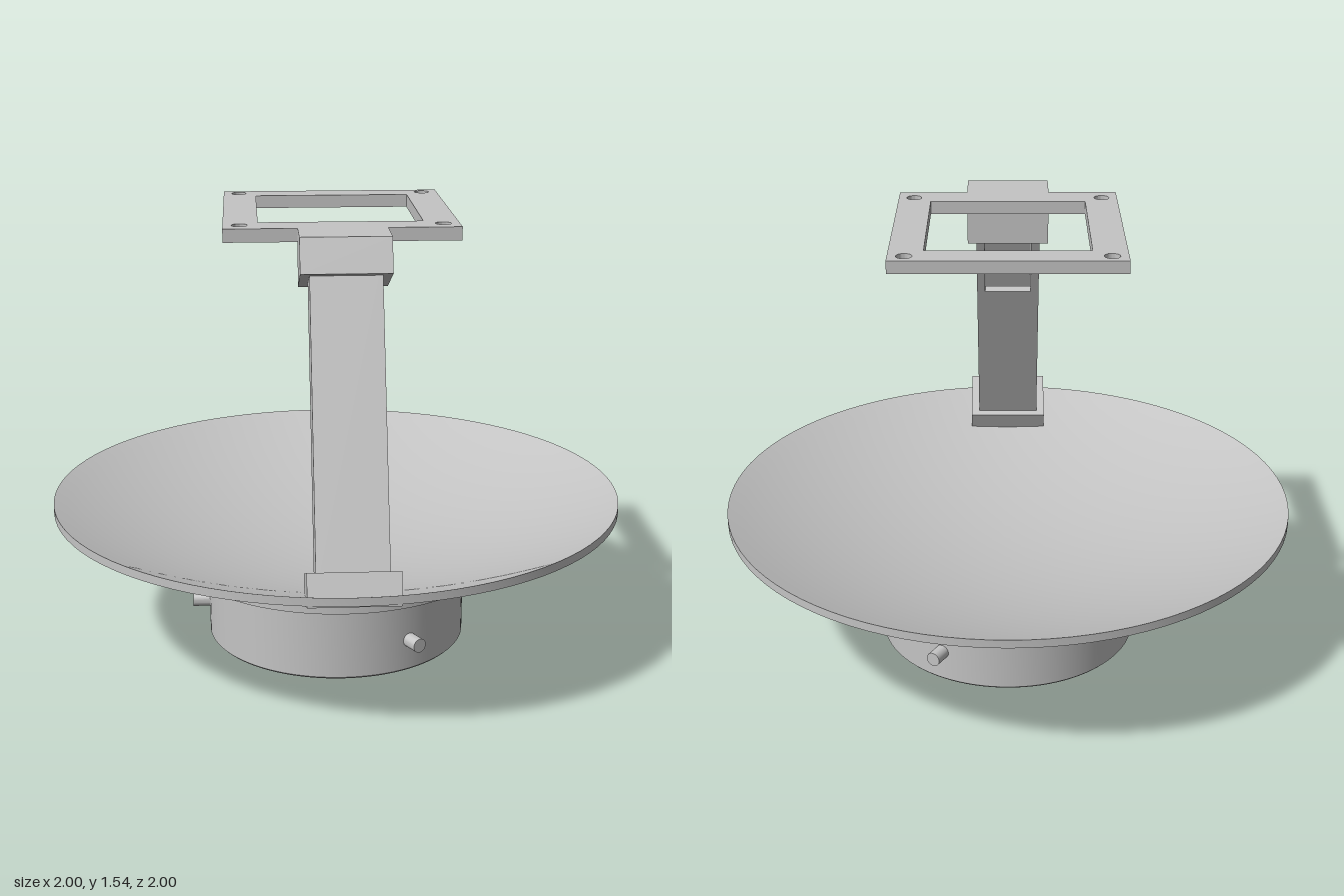
import * as THREE from 'three';
import { toCreasedNormals } from 'three/addons/utils/BufferGeometryUtils.js';

const TILT = Math.PI / 8;

export function createModel() {
  const model = new THREE.Group();
  const grey = new THREE.MeshStandardMaterial({ color: 0xc4c4c4 });
  grey.name = 'light grey';

  const add = (name, geometry, parent = model) => {
    const mesh = new THREE.Mesh(geometry, grey);
    mesh.name = name;
    parent.add(mesh);
    return mesh;
  };
  const lathe = (points) => toCreasedNormals(
    new THREE.LatheGeometry(points.map(([r, y]) => new THREE.Vector2(r, y)), 96), 0.5);
  // Extrudes a side outline given as [z, y] across the width in x
  const sideBlock = (points, width) => {
    const shape = new THREE.Shape(points.map(([z, y]) => new THREE.Vector2(z, y)));
    return new THREE.ExtrudeGeometry(shape, { depth: width, bevelEnabled: false })
      .translate(0, 0, -width / 2).rotateY(-Math.PI / 2);
  };

  // Base drum with a softened lower edge, and the collar under the dish
  add('baseDrum', lathe([[0, 0], [0.453, 0], [0.46, 0.007], [0.46, 0.3], [0, 0.3]]));
  add('collar', lathe([[0, 0.286], [0.565, 0.286], [0.565, 0.355], [0, 0.3]]));

  // Three locking pins around the drum
  for (const angle of [Math.PI / 3, Math.PI, -Math.PI / 3]) {
    const geometry = toCreasedNormals(new THREE.CylinderGeometry(0.025, 0.025, 0.12, 24), 0.5);
    geometry.rotateZ(Math.PI / 2).translate(0.46, 0.113, 0).rotateY(-angle);
    add('lockingPin', geometry);
  }

  // Parabolic dish with a thin shell and upright rim
  const steps = 20;
  const bowl = (base) => Array.from({ length: steps + 1 }, (_, i) => {
    const r = i / steps;
    return [r, base + 0.214 * r * r];
  });
  add('dish', lathe([...bowl(0.287), ...bowl(0.316).reverse()]));

  // Lower socket passing through the dish near its front rim
  add('lowerSocket', sideBlock(
    [[0.955, 0.595], [0.75, 0.51], [0.789, 0.417], [0.822, 0.429], [0.988, 0.494], [0.988, 0.515]], 0.29));

  // Hollow leaning arm, with an opening at the top of its back wall
  const arm = new THREE.Group();
  arm.name = 'arm';
  arm.position.set(0, 0.973, 0.6625);
  arm.rotation.x = -TILT;
  model.add(arm);
  const length = 1.03, wall = 0.03, depth = 0.145, width = 0.23;
  const slot = 0.33;
  add('armFront', new THREE.BoxGeometry(width, length, wall), arm)
    .position.z = (depth - wall) / 2;
  add('armBack', new THREE.BoxGeometry(width - 2 * wall, length - slot, wall), arm)
    .position.set(0, -slot / 2, -(depth - wall) / 2);
  for (const side of [-1, 1]) {
    add('armSide', new THREE.BoxGeometry(wall, length, depth - wall), arm)
      .position.set(side * (width - wall) / 2, 0, -wall / 2);
  }

  // Upper socket joining the arm to the mounting plate
  add('upperSocket', sideBlock([[0.58, 1.432], [0.536, 1.54], [0.38, 1.54], [0.38, 1.35]], 0.29));

  // Mounting plate: square frame with a window and four screw holes
  const rect = (path, x, back, front) => path
    .moveTo(-x, -front).lineTo(x, -front).lineTo(x, -back).lineTo(-x, -back).closePath();
  const plate = new THREE.Shape();
  rect(plate, 0.384, -0.393, 0.38);
  const opening = new THREE.Path();
  rect(opening, 0.27, -0.287, 0.262);
  plate.holes.push(opening);
  for (const x of [-0.33, 0.33]) {
    for (const z of [-0.345, 0.312]) {
      const hole = new THREE.Path();
      hole.absarc(x, -z, 0.026, 0, Math.PI * 2, true);
      plate.holes.push(hole);
    }
  }
  const plateGeometry = new THREE.ExtrudeGeometry(plate, { depth: 0.044, bevelEnabled: false, curveSegments: 24 });
  plateGeometry.rotateX(-Math.PI / 2).translate(0, 1.496, 0);
  add('mountingPlate', toCreasedNormals(plateGeometry, 0.5));

  return model;
}
